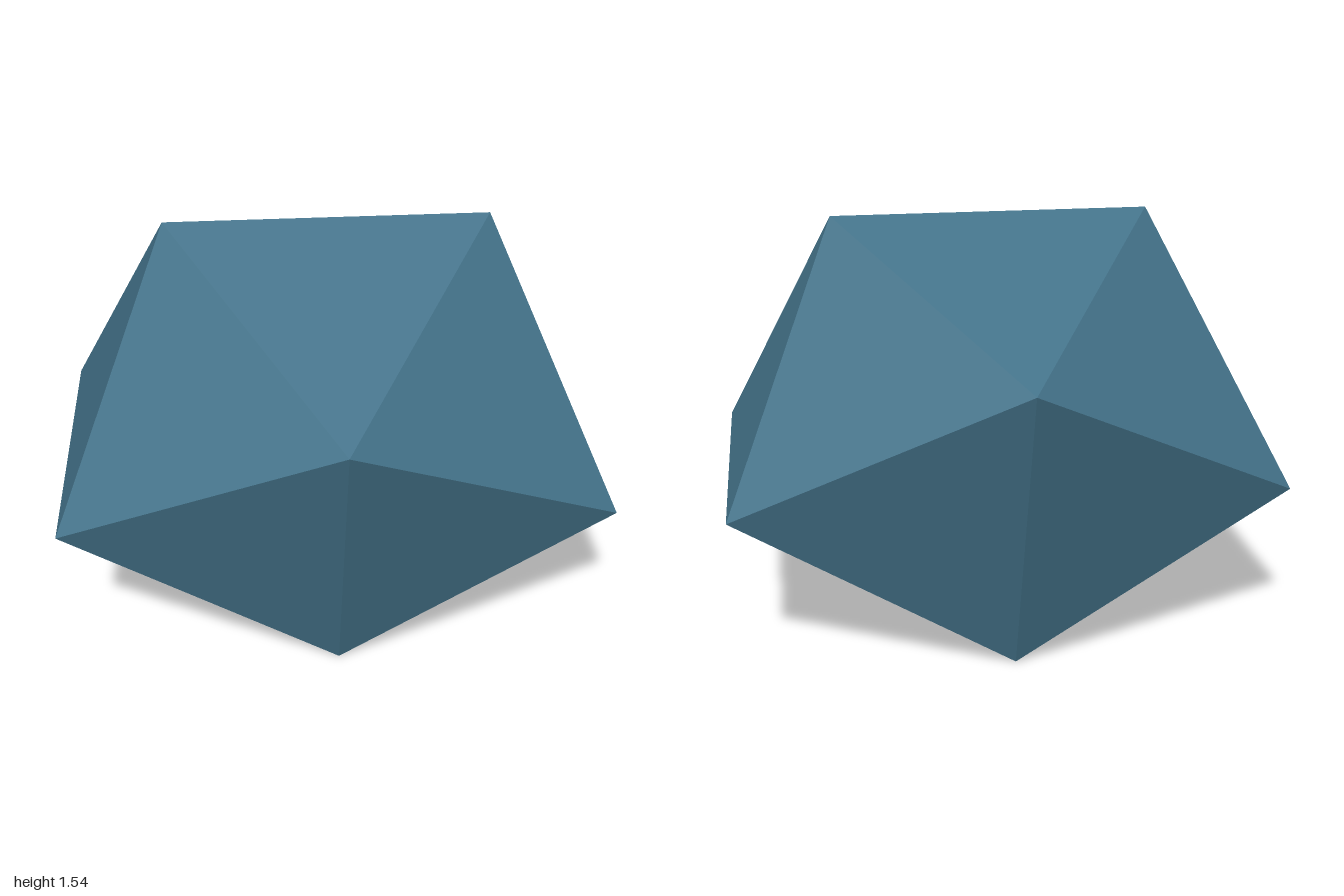
import * as THREE from 'three';

const H = 0.5864; // half the edge length
const CENTRE = new THREE.Vector3(0, 0.8, 0);

// Corner positions; sx and sz pick the mirrored copy
const ridge = (sx) => new THREE.Vector3(sx * H, 1.54, 0);
const shoulder = (sz) => new THREE.Vector3(0, 1.1225, sz * 0.9257);
const side = (sx, sz) => new THREE.Vector3(sx, 0.6125, sz * H);
const keel = (sz) => new THREE.Vector3(0, 0, sz * H);

// Flat polygons fanned into triangles, each turned to face outwards
function facesGeometry(faces) {
  const points = [];
  for (const face of faces) {
    const normal = new THREE.Triangle(face[0], face[1], face[2]).getNormal(new THREE.Vector3());
    const outward = normal.dot(face[0].clone().sub(CENTRE)) > 0;
    const f = outward ? face : [...face].reverse();
    for (let i = 1; i < f.length - 1; i++) points.push(f[0], f[i], f[i + 1]);
  }
  const geometry = new THREE.BufferGeometry().setFromPoints(points);
  geometry.computeVertexNormals();
  return geometry;
}

export function createModel() {
  const slateBlue = new THREE.MeshStandardMaterial({ name: 'slateBlue', color: 0x437289 });
  const brightBlue = new THREE.MeshStandardMaterial({ name: 'brightBlue', color: 0x2588b5 });

  const triangles = [];
  const squares = [];
  for (const s of [-1, 1]) {
    // Roof slope at front and back, gable on each side
    triangles.push([ridge(-1), ridge(1), shoulder(s)]);
    triangles.push([ridge(s), side(s, 1), side(s, -1)]);
    // Sloping underside squares meeting along the keel
    squares.push([side(s, 1), side(s, -1), keel(-1), keel(1)]);
    // Upper and lower corner triangles
    for (const z of [-1, 1]) {
      triangles.push([shoulder(z), ridge(s), side(s, z)]);
      triangles.push([shoulder(z), side(s, z), keel(z)]);
    }
  }

  const group = new THREE.Group();
  group.name = 'polyhedron';
  const crown = new THREE.Mesh(facesGeometry(triangles), slateBlue);
  crown.name = 'triangleFaces';
  const base = new THREE.Mesh(facesGeometry(squares), brightBlue);
  base.name = 'squareFaces';
  group.add(crown, base);
  return group;
}
